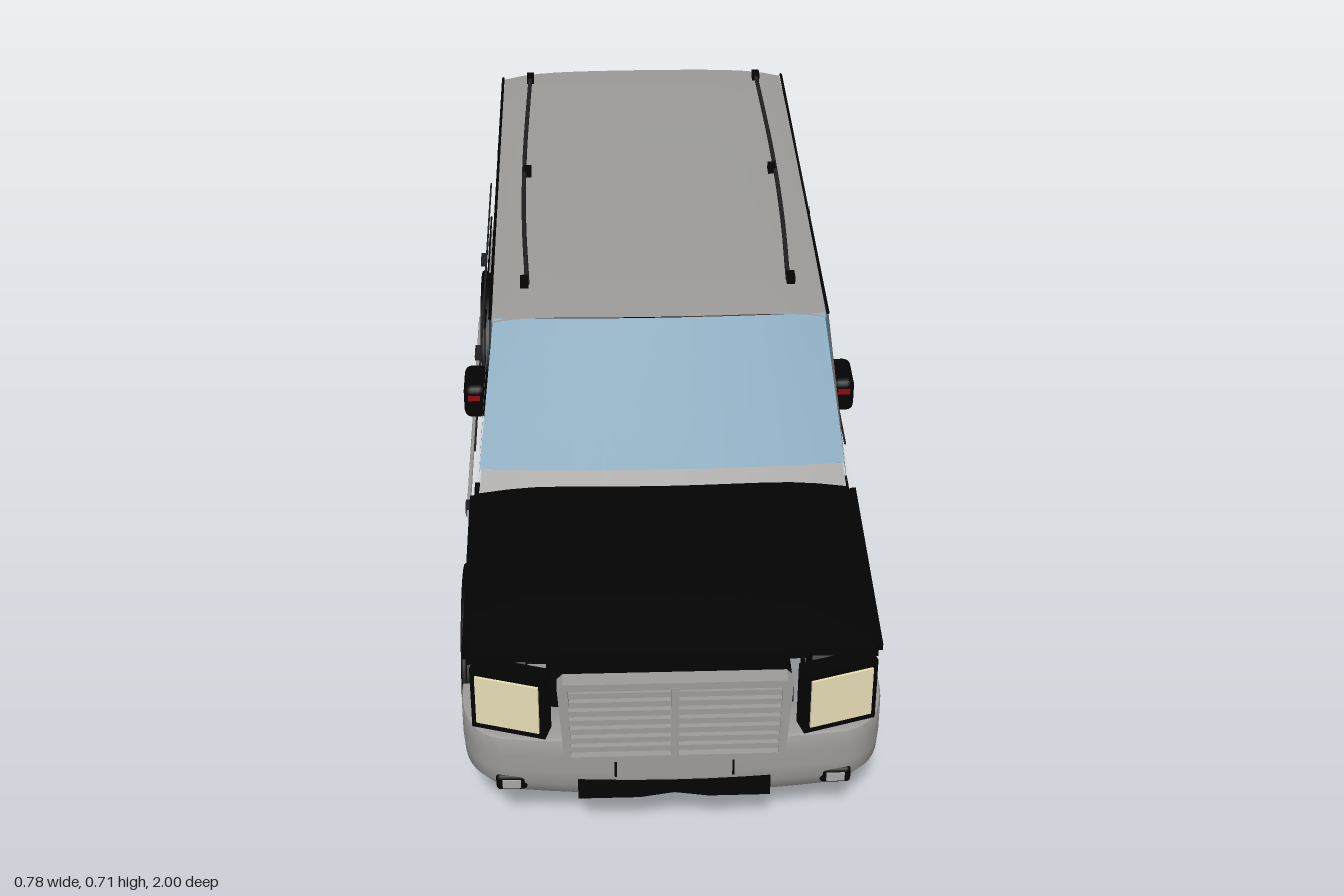
import * as THREE from 'three';
import { toCreasedNormals } from 'three/addons/utils/BufferGeometryUtils.js';
import { RoundedBoxGeometry } from 'three/addons/geometries/RoundedBoxGeometry.js';

const mat = (name, color) => {
  const m = new THREE.MeshStandardMaterial({ color, side: THREE.DoubleSide });
  m.name = name;
  return m;
};

export function createModel() {
  const car = new THREE.Group();
  car.name = 'estateCar';
  const grey = mat('bodyGrey', 0x9b9a98), black = mat('trimBlack', 0x030303), glass = mat('windowBlue', 0x769bb1),
    rim = mat('rimSilver', 0xa6a6a6), red = mat('lampRed', 0x900a0c), cream = mat('lampCream', 0xe6dcb4),
    brown = mat('seatBrown', 0x4a3a30), dark = mat('chassisGrey', 0x202022);

  const add = (name, geo, m, x = 0, y = 0, z = 0, parent = car) => {
    const mesh = new THREE.Mesh(geo, m);
    mesh.name = name;
    mesh.position.set(x, y, z);
    parent.add(mesh);
    return mesh;
  };
  const box = (name, m, w, h, d, x, y, z, parent) => add(name, new THREE.BoxGeometry(w, h, d), m, x, y, z, parent);
  const soft = (name, m, w, h, d, x, y, z, r = 0.015) => add(name, new RoundedBoxGeometry(w, h, d, 2, r), m, x, y, z);
  const both = fn => [1, -1].forEach(fn);
  const rod = (name, m, a, b, r, sides = 8) =>
    add(name, new THREE.TubeGeometry(new THREE.LineCurve3(new THREE.Vector3(...a), new THREE.Vector3(...b)), 1, r, sides), m);
  const axle = (r, len, sides = 24) => new THREE.CylinderGeometry(r, r, len, sides).rotateZ(Math.PI / 2);

  // Surface through a rule f(u, v) -> [x, y, z]
  const sheet = (name, m, nu, nv, f) => {
    const g = new THREE.PlaneGeometry(1, 1, nu, nv), p = g.attributes.position;
    for (let i = 0; i < p.count; i++) p.setXYZ(i, ...f(p.getX(i) + 0.5, 0.5 - p.getY(i)));
    g.computeVertexNormals();
    return add(name, g, m);
  };
  const mix = THREE.MathUtils.lerp;
  const sideX = y => 0.346 - (y - 0.45) * 0.1;
  // Flat outline given as [z, y], laid on the leaning cabin side
  const sidePanel = (name, m, pts, out = 0) => both(s => {
    const g = new THREE.ShapeGeometry(new THREE.Shape(pts.map(p => new THREE.Vector2(...p)))), p = g.attributes.position;
    for (let i = 0; i < p.count; i++) p.setXYZ(i, s * (sideX(p.getY(i)) + out), p.getY(i), p.getX(i));
    if (s > 0) g.setIndex([...g.index.array].reverse());
    g.computeVertexNormals();
    add(name, g, m);
  });

  // Roof, windscreen, cowl and tail panels
  sheet('roof', grey, 16, 12, (u, v) => {
    const k = u * 2 - 1, t = v * 2 - 1;
    return [k * 0.32, 0.686 - 0.014 * k ** 6 - 0.009 * t ** 4, mix(-0.885, 0.245, v) + (t > 0 ? -1 : 1) * 0.012 * k * k * Math.abs(t)];
  });
  sheet('windscreen', glass, 12, 4, (u, v) => {
    const k = u * 2 - 1, y = mix(0.675, 0.447, v);
    return [k * mix(0.317, 0.346, v), y - 0.007 * k * k * (1 - v), mix(0.245, 0.43, v) - k * k * 0.02];
  });
  sheet('cowl', grey, 12, 2, (u, v) => {
    const k = u * 2 - 1;
    return [k * mix(0.342, 0.348, v), mix(0.452, 0.415, v) - 0.006 * k * k, mix(0.43, 0.46, v) - k * k * 0.02];
  });
  sheet('rearWindow', glass, 12, 4, (u, v) => {
    const k = u * 2 - 1;
    return [k * mix(0.32, 0.326, v), mix(0.672, 0.472, v) - 0.007 * k * k * (1 - v), mix(-0.885, -0.95, v) + k * k * mix(0.015, 0.035, v)];
  });
  sheet('tailgateRim', grey, 12, 3, (u, v) => {
    const k = u * 2 - 1;
    return [k * mix(0.326, 0.31, v), mix(0.472, 0.402 + 0.05 * k * k, v), -0.95 - 0.02 * Math.sin(v * 1.57) + k * k * 0.035];
  });

  // Cabin sides
  sidePanel('frontSideWindow', glass, [[0.23, 0.505], [0.23, 0.668], [-0.185, 0.674], [-0.185, 0.505]]);
  sidePanel('rearSideWindow', glass, [[-0.2, 0.505], [-0.2, 0.674], [-0.8, 0.67], [-0.8, 0.505]]);
  sidePanel('doorPillar', black, [[-0.184, 0.5], [-0.184, 0.676], [-0.2, 0.676], [-0.2, 0.5]], 0.003);
  sidePanel('windscreenPillar', grey, [[0.23, 0.505], [0.23, 0.668], [0.41, 0.445], [0.435, 0.415], [0.39, 0.43]]);
  sidePanel('rearPillar', grey, [[-0.8, 0.505], [-0.8, 0.67], [-0.872, 0.67], [-0.925, 0.45], [-0.905, 0.47], [-0.87, 0.495]]);
  both(s => {
    rod('windowTopTrim', black, [s * 0.323, 0.67, 0.23], [s * 0.323, 0.668, -0.87], 0.003);
    rod('beltTrim', dark, [s * 0.36, 0.415, 0.3], [s * 0.36, 0.415, -0.83], 0.002);
    rod('lowerTrim', black, [s * 0.365, 0.3, -0.36], [s * 0.365, 0.3, -0.88], 0.002);
    [0.215, -0.19, -0.835].forEach(z => rod('doorSeam', black, [s * 0.352, 0.22, z], [s * 0.341, 0.5, z], 0.001, 5));
    [-0.1, -0.5].forEach(z => box('doorHandle', dark, 0.012, 0.01, 0.045, s * 0.368, 0.393, z));
    // Side steps
    rod('sideStep', grey, [s * 0.386, 0.195, 0.21], [s * 0.386, 0.195, -0.58], 0.004);
    [0.18, -0.2].forEach(z => box('stepBracket', dark, 0.012, 0.022, 0.026, s * 0.386, 0.195, z));
    // Roof rails
    const rail = new THREE.CatmullRomCurve3([[0.252, 0.15], [0.262, -0.1], [0.265, -0.4], [0.258, -0.81]]
      .map(([x, z]) => new THREE.Vector3(s * x, 0.7, z)));
    add('roofRail', new THREE.TubeGeometry(rail, 16, 0.0045, 8), dark);
    [0.14, -0.33, -0.8].forEach(z => box('railFoot', black, 0.016, 0.016, 0.026, s * 0.258, 0.699, z));
    // Mirrors
    soft('mirror', black, 0.045, 0.072, 0.095, s * 0.357, 0.493, 0.206);
    box('mirrorLamp', red, 0.023, 0.011, 0.008, s * 0.359, 0.506, 0.251);
  });

  // Bonnet with its front lip and the wings' upper edges
  sheet('bonnet', black, 12, 8, (u, v) => {
    const k = u * 2 - 1;
    return [k * mix(0.352, 0.356, v), mix(0.428, 0.403, v * v) - 0.016 * k ** 4, mix(0.44, 0.915, v) - 0.02 * k * k * v];
  });
  sheet('bonnetLip', black, 12, 1, (u, v) => {
    const k = u * 2 - 1;
    return [k * 0.356, mix(0.403, 0.388, v) - 0.016 * k ** 4, 0.915 - 0.02 * k * k];
  });
  both(s => box('wingEdge', black, 0.012, 0.014, 0.44, s * 0.358, 0.398, 0.67).rotation.x = 0.05);
  box('radiator', black, 0.4, 0.11, 0.025, 0, 0.32, 0.82);
  box('engineBay', black, 0.56, 0.08, 0.29, 0, 0.335, 0.487);

  // Grille
  const frame = new THREE.Shape([[-0.19, -0.088], [0.19, -0.088], [0.2, 0.075], [0.19, 0.085], [-0.19, 0.085], [-0.2, 0.075]]
    .map(p => new THREE.Vector2(...p)));
  frame.holes.push(new THREE.Path([[-0.178, -0.075], [-0.182, 0.07], [0.182, 0.07], [0.178, -0.075]].map(p => new THREE.Vector2(...p))));
  add('grilleFrame', new THREE.ExtrudeGeometry(frame, { depth: 0.03, bevelEnabled: false }), grey, 0, 0.32, 0.965);
  box('grilleBack', black, 0.37, 0.15, 0.008, 0, 0.32, 0.976);
  for (let i = 0; i < 7; i++) box('grilleSlat', grey, 0.362, 0.0115, 0.014, 0, 0.26 + i * 0.0198, 0.986);
  box('grilleBar', grey, 0.014, 0.148, 0.018, 0, 0.319, 0.987);

  // Headlamps, tail lamps
  both(s => {
    const lamp = new THREE.Group();
    lamp.name = 'headlamp';
    lamp.position.set(s * 0.28, 0.343, 0.95);
    lamp.rotation.y = s * 0.3;
    car.add(lamp);
    box('headlampFrame', black, 0.132, 0.128, 0.035, 0, 0, 0, lamp);
    box('headlampLens', cream, 0.113, 0.1, 0.008, 0, 0, 0.018, lamp);
    box('tailLampFrame', black, 0.064, 0.185, 0.03, s * 0.289, 0.308, -0.945);
    box('tailLampLens', red, 0.05, 0.165, 0.008, s * 0.289, 0.308, -0.961);
  });

  // Wrap-around bumpers, tucked in along the bottom
  const bumper = (name, top, height, flip) => {
    const s = new THREE.Shape();
    s.moveTo(-0.365, 0.81);
    s.lineTo(-0.33, 0.81);
    s.quadraticCurveTo(-0.32, 0.87, -0.2, 0.88);
    s.lineTo(0.2, 0.88);
    s.quadraticCurveTo(0.32, 0.87, 0.33, 0.81);
    s.lineTo(0.365, 0.81);
    s.quadraticCurveTo(0.37, 0.93, 0.3, 0.95);
    s.quadraticCurveTo(0, 0.99, -0.3, 0.95);
    s.quadraticCurveTo(-0.37, 0.93, -0.365, 0.81);
    const g = new THREE.ExtrudeGeometry(s, { depth: height - 0.016, steps: 4, bevelThickness: 0.008, bevelSize: 0.007, bevelSegments: 2, curveSegments: 10 });
    g.rotateX(Math.PI / 2).translate(0, top - 0.008, 0);
    const p = g.attributes.position;
    for (let i = 0; i < p.count; i++) {
      const t = Math.max(0, 1 - (p.getY(i) - top + height) / (height * 0.3));
      p.setX(i, p.getX(i) * (1 - 0.07 * t));
      p.setZ(i, p.getZ(i) - 0.02 * t);
    }
    if (flip) g.rotateY(Math.PI);
    add(name, toCreasedNormals(g, 0.7), grey);
  };
  bumper('frontBumper', 0.258, 0.138, false);
  bumper('rearBumper', 0.268, 0.125, true);
  box('numberPlate', grey, 0.2, 0.05, 0.012, 0, 0.21, 0.98);
  both(s => box('plateEdge', black, 0.004, 0.045, 0.012, s * 0.102, 0.21, 0.978));
  const intake = new THREE.Shape([[-0.168, 0.02], [-0.168, -0.018], [-0.06, -0.018], [0, -0.008], [0.06, -0.018], [0.168, -0.018],
    [0.168, 0.02]].map(p => new THREE.Vector2(...p)));
  add('lowerIntake', new THREE.ExtrudeGeometry(intake, { depth: 0.03, bevelEnabled: false }), black, 0, 0.152, 0.948);
  box('rearBumperStrip', black, 0.28, 0.032, 0.012, 0, 0.195, -0.976);
  both(s => {
    soft('fogLampFrame', black, 0.055, 0.034, 0.03, s * 0.284, 0.157, 0.946, 0.008);
    box('fogLamp', rim, 0.032, 0.017, 0.008, s * 0.284, 0.157, 0.96);
    box('rearFogLamp', black, 0.04, 0.025, 0.02, s * 0.29, 0.185, -0.948);
    box('towLoop', grey, 0.03, 0.03, 0.05, s * 0.125, 0.205, -0.975);
  });

  // Floor and underbody
  box('floor', black, 0.64, 0.045, 1.0, 0, 0.24, -0.3);
  box('frontFloor', black, 0.5, 0.04, 0.5, 0, 0.23, 0.45);
  box('bootFloor', black, 0.69, 0.014, 0.15, 0, 0.264, -0.86);
  both(s => {
    box('chassisRail', black, 0.05, 0.045, 1.6, s * 0.2, 0.185, -0.02);
    rod('exhaust', dark, [s * 0.11, 0.15, 0.3], [s * 0.11, 0.15, -0.6], 0.014);
    rod('trailingArm', dark, [s * 0.2, 0.16, -0.15], [s * 0.23, 0.13, -0.5], 0.013);
  });
  [0.35, 0.08, -0.25, -0.62].forEach(z => box('crossMember', dark, 0.44, 0.03, 0.045, 0, 0.17, z));
  rod('driveShaft', dark, [0, 0.15, 0.55], [0, 0.15, -0.52], 0.018);
  soft('gearbox', dark, 0.16, 0.09, 0.3, 0, 0.19, 0.3);
  sheet('skidPlate', dark, 4, 2, (u, v) => {
    const k = u * 2 - 1;
    return [k * mix(0.12, 0.18, v), mix(0.076, 0.112, v) + 0.012 * Math.abs(k), mix(0.6, 0.86, v)];
  });
  const spare = add('spareTyre', new THREE.TorusGeometry(0.1, 0.034, 8, 28).rotateX(Math.PI / 2), black, 0, 0.13, -0.7);
  add('spareRim', new THREE.CylinderGeometry(0.075, 0.075, 0.03, 24), rim, 0, 0, 0, spare);

  // Seats with headrests, dashboard and steering wheel
  const seat = (x, z, w, h, rests) => {
    soft('seatBase', black, w, h, 0.21, x, 0.31 + h / 2, z);
    soft('seatCushion', brown, w + 0.006, 0.03, 0.18, x, 0.335, z - 0.01, 0.01);
    soft('seatBack', brown, w, 0.2, 0.045, x, 0.473, z - 0.096).rotation.x = -0.18;
    rests.forEach(dx => soft('headrest', black, 0.11, 0.055, 0.035, x + dx, 0.6, z - 0.12));
  };
  both(s => seat(s * 0.16, 0.03, 0.19, 0.105, [0]));
  seat(0, -0.435, 0.56, 0.065, [-0.17, 0.17]);
  soft('dashboard', black, 0.62, 0.075, 0.15, 0, 0.412, 0.295);
  add('steeringWheel', new THREE.TorusGeometry(0.045, 0.006, 8, 24), black, 0.16, 0.46, 0.13).rotation.x = 0.4;
  rod('steeringColumn', black, [0.16, 0.46, 0.13], [0.16, 0.42, 0.25], 0.01);

  // Wheels, brakes and arches
  const tyre = new THREE.LatheGeometry([[0.1, -0.05], [0.14, -0.055], [0.152, -0.045], [0.155, -0.03], [0.155, 0.03],
    [0.152, 0.045], [0.14, 0.055], [0.1, 0.05], [0.1, -0.05]].map(p => new THREE.Vector2(...p)), 36).rotateZ(-Math.PI / 2);
  [0.602, -0.52].forEach(z => {
    rod('axle', dark, [-0.3, 0.155, z], [0.3, 0.155, z], 0.02);
    add('differential', new THREE.SphereGeometry(0.05, 16, 10), dark, 0, 0.155, z);
    both(s => {
      const wheel = new THREE.Group();
      wheel.name = 'wheel';
      wheel.position.set(s * 0.322, 0.156, z);
      car.add(wheel);
      add('tyre', toCreasedNormals(tyre, 0.6), black, 0, 0, 0, wheel);
      add('rimBarrel', new THREE.CylinderGeometry(0.1, 0.1, 0.1, 32, 1, true).rotateZ(Math.PI / 2), rim, 0, 0, 0, wheel);
      add('rimLip', new THREE.TorusGeometry(0.095, 0.007, 6, 32).rotateY(Math.PI / 2), rim, s * 0.05, 0, 0, wheel);
      add('brakeDisc', axle(0.08, 0.012), dark, 0, 0, 0, wheel);
      box('brakeCaliper', red, 0.03, 0.05, 0.03, -s * 0.025, 0.03, -0.055, wheel);
      add('hub', axle(0.026, 0.05, 16), rim, s * 0.025, 0, 0, wheel);
      for (let i = 0; i < 6; i++) {
        const spoke = new THREE.BoxGeometry(0.016, 0.08, 0.024).translate(s * 0.04, 0.055, 0).rotateX(i * Math.PI / 3);
        add('spoke', spoke, rim, 0, 0, 0, wheel);
      }
      const arch = new THREE.CylinderGeometry(0.168, 0.168, 0.115, 28, 1, true, 0, Math.PI).rotateZ(Math.PI / 2);
      add('wheelArch', arch, black, s * 0.318, 0.156, z);
      add('archLiner', new THREE.CircleGeometry(0.168, 24, 0, Math.PI).rotateY(Math.PI / 2), black, s * 0.261, 0.156, z);
      add('archFlare', new THREE.TorusGeometry(0.168, 0.006, 6, 24, Math.PI).rotateY(Math.PI / 2), black, s * 0.372, 0.156, z);
      if (z > 0) box('wingLiner', black, 0.1, 0.075, 0.28, s * 0.31, 0.335, 0.487);
    });
  });
  return car;
}
